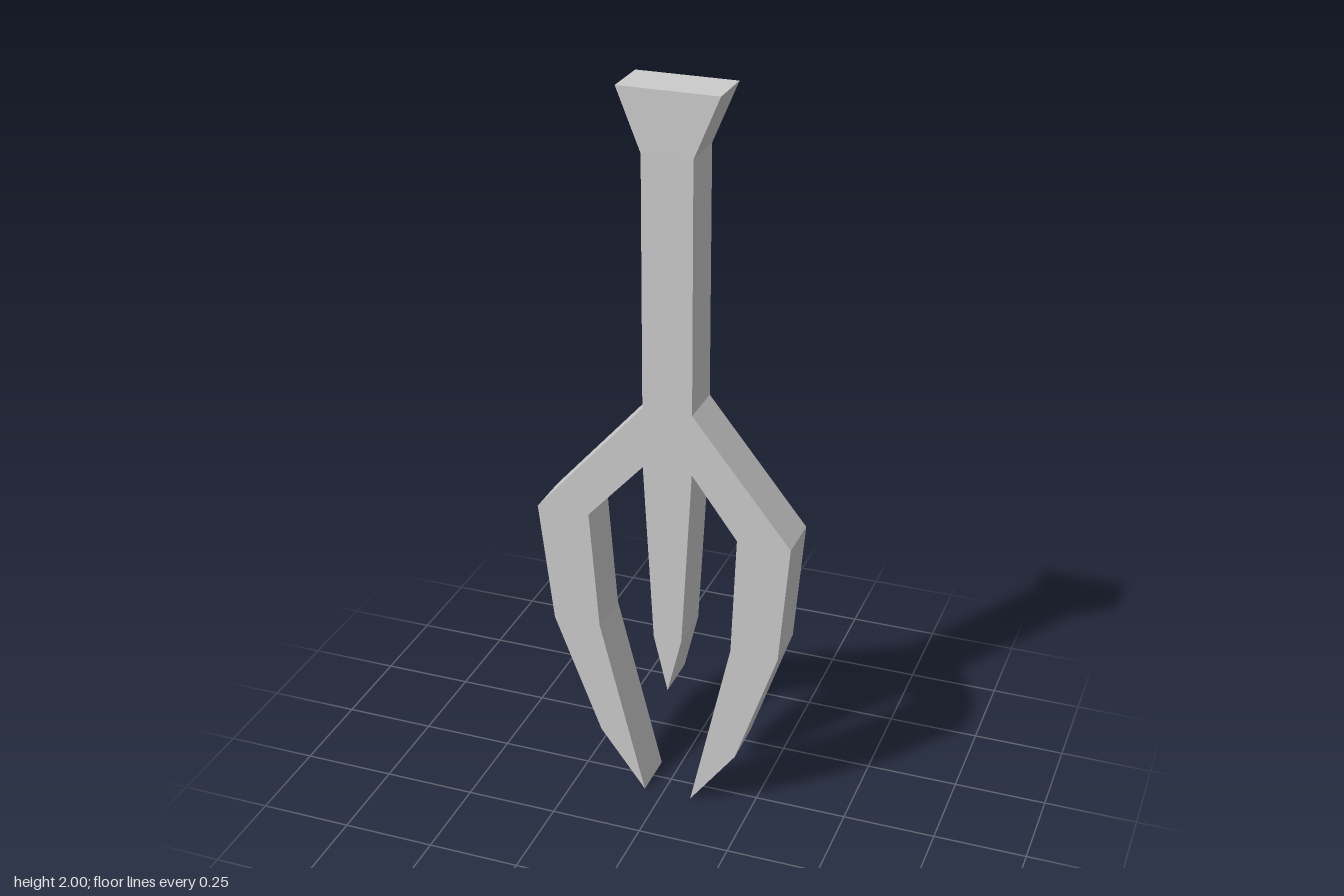
import * as THREE from 'three';

const DEPTH = 0.134;

// Outline pieces, each running clockwise round the fork
const handle = [[-0.053, 1.17], [-0.053, 1.84], [-0.117, 2], [0.147, 2], [0.08, 1.84], [0.08, 1.17]];
const leftProng = [[0.347, 0.836], [0.32, 0.503], [0.207, 0.17], [0.08, 0], [0.19, 0.503], [0.203, 0.836]];
const middleProng = [[0.08, 1.003], [0.053, 0.503], [0.014, 0.34], [-0.025, 0.503], [-0.053, 1.003]];
const rightProng = [[-0.206, 0.836], [-0.18, 0.503], [-0.053, 0], [-0.18, 0.17], [-0.31, 0.503], [-0.35, 0.836]];

export function createModel() {
  const group = new THREE.Group();
  group.name = 'threeProngedFork';

  // Handle and prongs form one continuous flat plate
  const outline = [...handle, ...leftProng, ...middleProng, ...rightProng];
  const shape = new THREE.Shape(outline.map(([x, y]) => new THREE.Vector2(x, y)));
  const geometry = new THREE.ExtrudeGeometry(shape, { depth: DEPTH, bevelEnabled: false });
  geometry.translate(0, 0, -DEPTH / 2);

  const material = new THREE.MeshStandardMaterial({ color: 0xcccccc, flatShading: true });
  const fork = new THREE.Mesh(geometry, material);
  fork.name = 'handleAndProngs';
  group.add(fork);
  return group;
}
